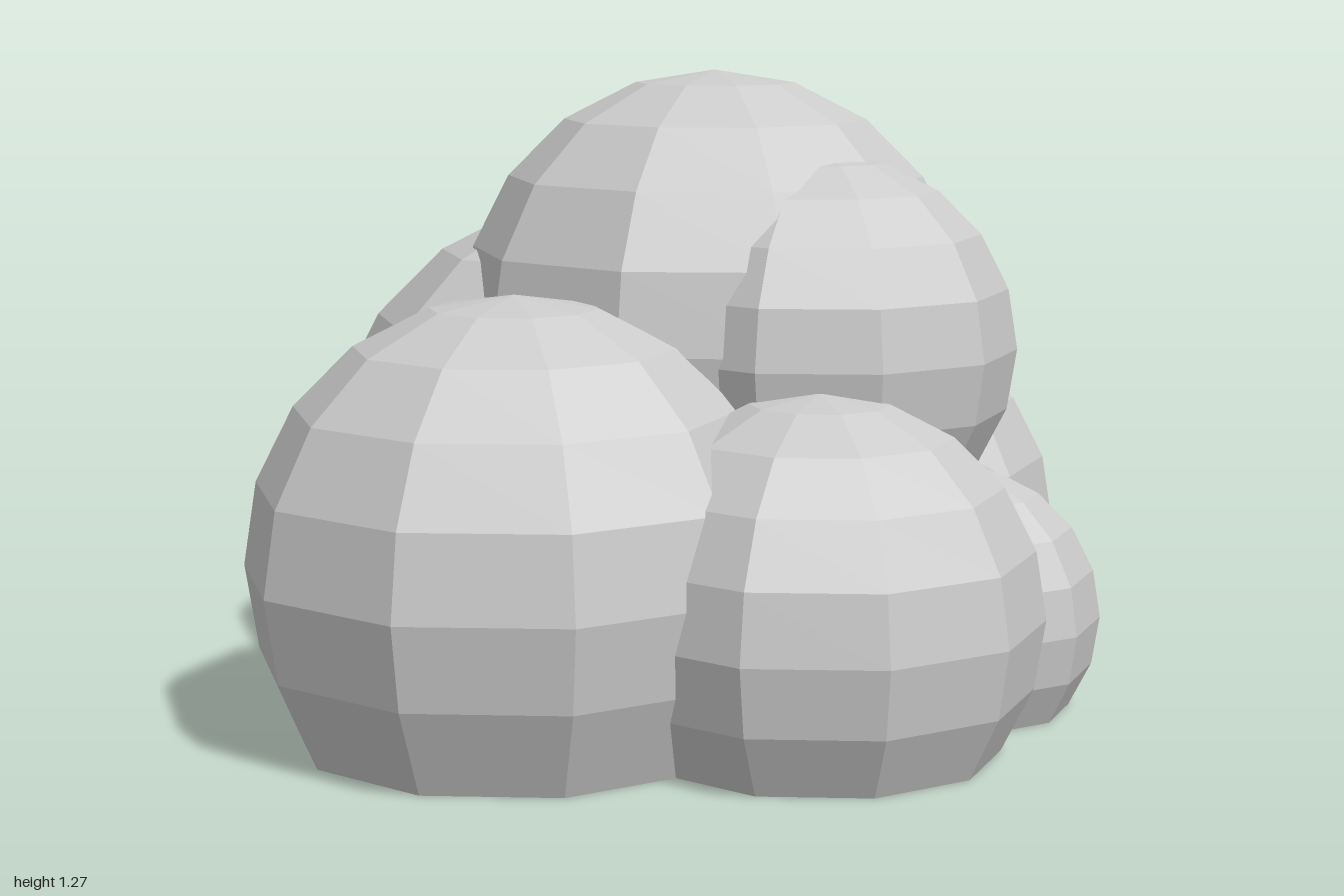
import * as THREE from 'three';

// A mound of faceted puffs: ten-sided spheres, cut open 126 degrees below the pole.
const CUT = 0.7 * Math.PI;

function makePuff(name, radius, x, y, z, material, base) {
  const geometry = new THREE.SphereGeometry(radius, 10, 7, 0, Math.PI * 2, 0, CUT);
  if (base !== undefined) {
    // settle the open rim exactly on the ground
    const p = geometry.attributes.position;
    const rim = radius * Math.cos(CUT);
    for (let i = 0; i < p.count; i++) {
      if (p.getY(i) < rim + 1e-4) p.setY(i, base - y);
    }
    geometry.computeVertexNormals();
  }
  const mesh = new THREE.Mesh(geometry, material);
  mesh.name = name;
  mesh.position.set(x, y, z);
  return mesh;
}

export function createModel() {
  const group = new THREE.Group();
  group.name = 'puffMound';
  const material = new THREE.MeshStandardMaterial({
    color: 0xcccccc, flatShading: true, side: THREE.DoubleSide,
  });

  // name, radius, x, y, z, ground height (upper puffs have none)
  const puffs = [
    ['frontPuff', 0.53, -0.02, 0.335, 0.496, 0],
    ['rightSidePuff', 0.63, -0.285, 0.375, -0.11, 0],
    ['leftSidePuff', 0.432, 0.478, 0.256, 0.19, 0],
    ['smallPuff', 0.312, 0.472, 0.182, -0.245, 0],
    ['backPuff', 0.462, -0.02, 0.272, -0.56, 0],
    ['topPuff', 0.526, -0.02, 0.745, -0.113],
    ['upperSidePuff', 0.39, 0.265, 0.725, -0.1],
  ];
  for (const [name, r, x, y, z, base] of puffs) {
    group.add(makePuff(name, r, x, y, z, material, base));
  }
  return group;
}
